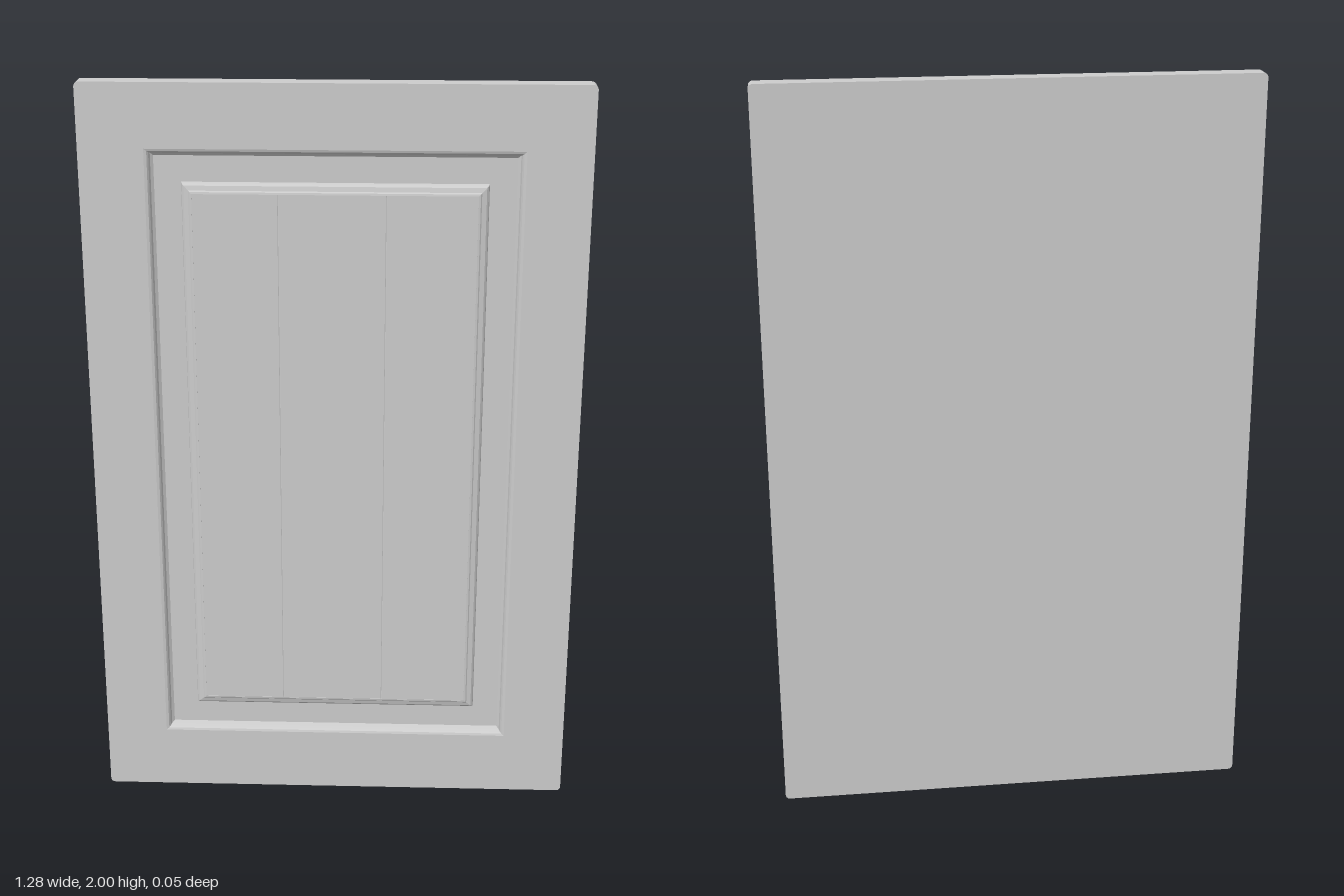
import * as THREE from 'three';

const HALF_W = 0.642, HEIGHT = 2, BACK = -0.025, FRONT = 0.025;
const material = new THREE.MeshStandardMaterial({ color: 0xcccccc });

function mesh(name, geometry) {
  const m = new THREE.Mesh(geometry, material);
  m.name = name;
  return m;
}

// Mitred rectangular moulding; each section is [half width, bottom, top, z], from outside in
function moulding(sections) {
  const rings = sections.map(([w, b, t, z]) => [[-w, b, z], [w, b, z], [w, t, z], [-w, t, z]]);
  const pos = [];
  for (let i = 0; i < rings.length - 1; i++) {
    for (let k = 0; k < 4; k++) {
      const n = (k + 1) % 4, o = rings[i], p = rings[i + 1];
      pos.push(...o[k], ...o[n], ...p[n], ...o[k], ...p[n], ...p[k]);
    }
  }
  const g = new THREE.BufferGeometry();
  g.setAttribute('position', new THREE.Float32BufferAttribute(pos, 3));
  g.computeVertexNormals();
  return g;
}

function roundedRect(w, b, t, r) {
  const s = new THREE.Shape();
  s.absarc(w - r, b + r, r, -Math.PI / 2, 0);
  s.absarc(w - r, t - r, r, 0, Math.PI / 2);
  s.absarc(-w + r, t - r, r, Math.PI / 2, Math.PI);
  s.absarc(-w + r, b + r, r, Math.PI, Math.PI * 1.5);
  s.closePath();
  return s;
}

export function createModel() {
  const door = new THREE.Group();
  door.name = 'cabinetDoor';

  // Flat outer frame with softened corners and a rectangular opening
  const [ow, ob, ot] = [0.476, 0.175, 1.835];
  const outline = roundedRect(HALF_W, 0, HEIGHT, 0.012);
  outline.holes.push(new THREE.Path([
    new THREE.Vector2(-ow, ob), new THREE.Vector2(-ow, ot),
    new THREE.Vector2(ow, ot), new THREE.Vector2(ow, ob),
  ]));
  const frame = new THREE.ExtrudeGeometry(outline, { depth: FRONT - BACK, bevelEnabled: false, curveSegments: 4 });
  frame.translate(0, 0, BACK);
  door.add(mesh('frame', frame));

  // Board closing the back of the opening
  const back = new THREE.PlaneGeometry(ow * 2, ot - ob);
  back.rotateY(Math.PI).translate(0, (ob + ot) / 2, BACK);
  door.add(mesh('backBoard', back));

  // Step down from the frame into the recess, ending in the flat recess floor
  door.add(mesh('recessMoulding', moulding([
    [ow, ob, ot, FRONT],
    [0.469, 0.181, 1.829, 0.023],
    [0.465, 0.185, 1.825, 0.018],
    [0.462, 0.188, 1.822, 0.010],
    [0.455, 0.195, 1.815, 0.004],
    [0.387, 0.260, 1.748, 0.004],
  ])));

  // Raised rim, rising from the floor and dipping behind the panel edge
  door.add(mesh('panelMoulding', moulding([
    [0.387, 0.260, 1.748, 0.004],
    [0.385, 0.262, 1.746, 0.012],
    [0.380, 0.267, 1.741, 0.017],
    [0.368, 0.278, 1.729, 0.020],
    [0.365, 0.281, 1.726, 0.023],
    [0.360, 0.286, 1.721, 0.024],
    [0.360, 0.286, 1.721, 0.018],
  ])));

  // Centre panel with two fine vertical plank seams
  const profile = [[-0.36, 0.023]];
  for (const x of [-0.143, 0.13]) {
    profile.push([x - 0.0015, 0.023], [x, 0.022], [x + 0.0015, 0.023]);
  }
  profile.push([0.36, 0.023]);
  const pos = [];
  for (let i = 0; i < profile.length - 1; i++) {
    const [x0, z0] = profile[i], [x1, z1] = profile[i + 1];
    pos.push(x0, 0.286, z0, x1, 0.286, z1, x1, 1.721, z1, x0, 0.286, z0, x1, 1.721, z1, x0, 1.721, z0);
  }
  const panel = new THREE.BufferGeometry();
  panel.setAttribute('position', new THREE.Float32BufferAttribute(pos, 3));
  panel.computeVertexNormals();
  door.add(mesh('centrePanel', panel));

  return door;
}
